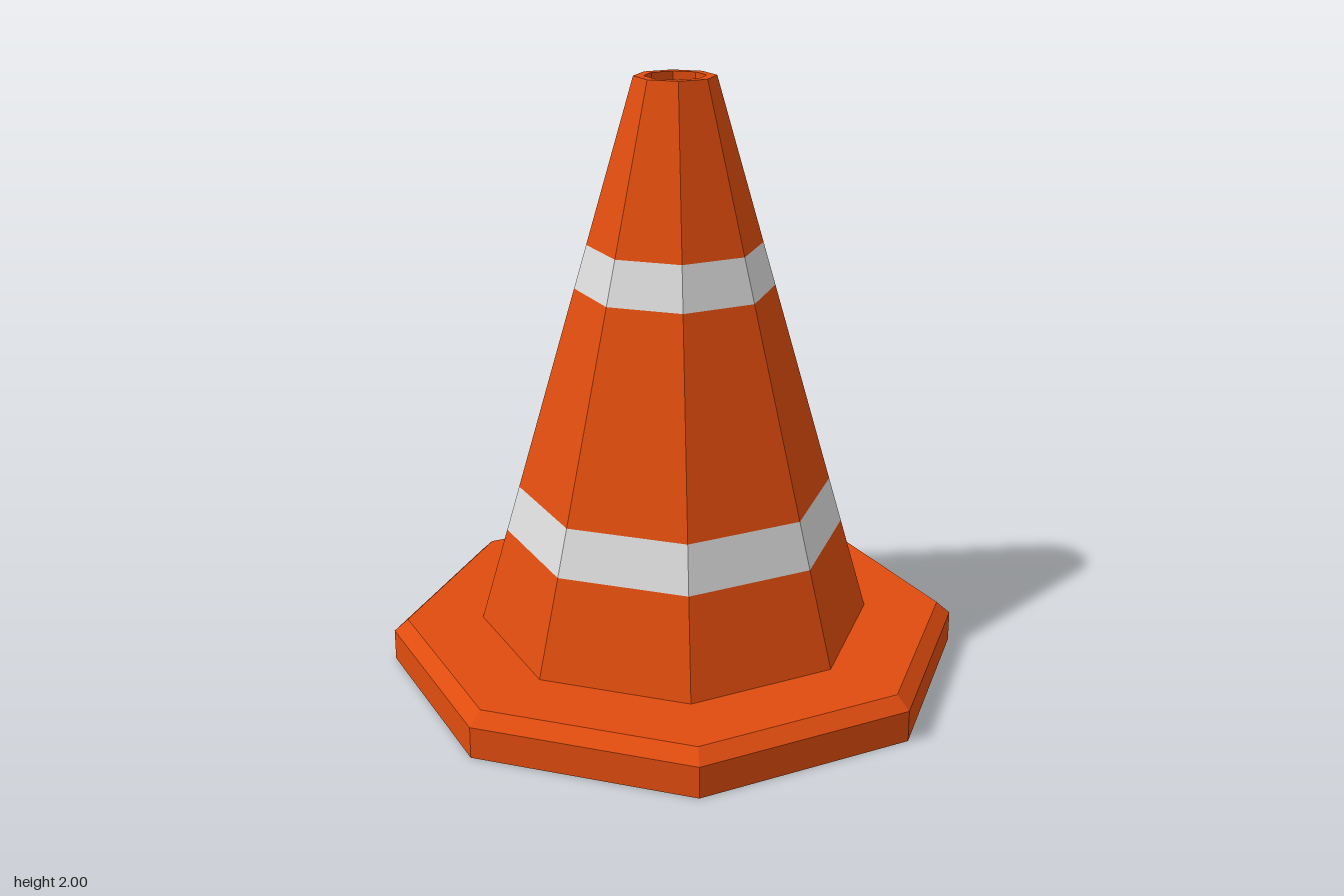
import * as THREE from 'three';

const SIDES = 8;
const BASE_TOP = 0.147, TOP = 2;

// Radius of the tapering cone at a given height
const coneRadius = (y) => THREE.MathUtils.mapLinear(y, BASE_TOP, TOP, 0.665, 0.133);

function material(name, color) {
  const m = new THREE.MeshStandardMaterial({ color, flatShading: true });
  m.name = name;
  return m;
}

// Eight-sided solid of revolution; profile runs bottom to top as [radius, y]
function ring(name, profile, mat) {
  const points = profile.map(([r, y]) => new THREE.Vector2(r, y));
  const mesh = new THREE.Mesh(new THREE.LatheGeometry(points, SIDES), mat);
  mesh.name = name;
  return mesh;
}

export function createModel() {
  const group = new THREE.Group();
  group.name = 'trafficCone';
  const orange = material('orange', 0xe04c0e);
  const white = material('reflectiveWhite', 0xdcdcdc);

  // Bevelled octagonal foot
  group.add(ring('base', [[0, 0], [0.97, 0], [0.97, 0.105], [0.923, BASE_TOP], [0, BASE_TOP]], orange));

  // Cone wall in alternating orange sections and white bands
  const heights = [BASE_TOP, 0.47, 0.626, 1.313, 1.458, TOP];
  for (let i = 0; i < heights.length - 1; i++) {
    const [a, b] = [heights[i], heights[i + 1]];
    const band = i % 2 === 1;
    group.add(ring(band ? 'reflectiveBand' : 'coneSection',
      [[coneRadius(a), a], [coneRadius(b), b]], band ? white : orange));
  }

  // Top rim and the straight hole inside it
  group.add(ring('rimAndHole', [[coneRadius(TOP), TOP], [0.1, TOP], [0.1, 1.7], [0, 1.7]], orange));

  return group;
}
